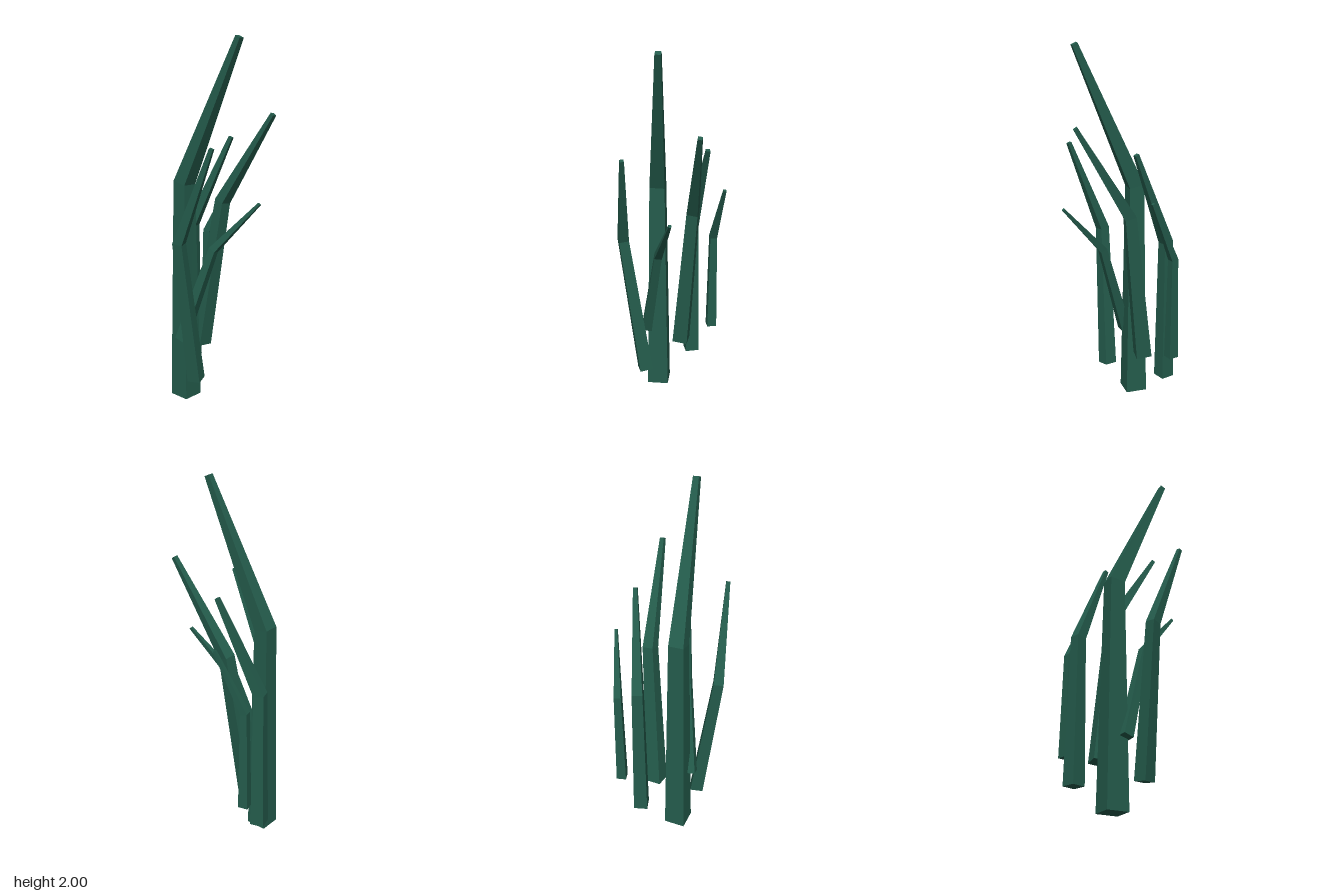
import * as THREE from 'three';

// Each blade: base, bend and tip as [x, y, z, width], plus the yaw of its square section in degrees
const BLADES = [
  { name: 'tallBlade', yaw: 0, points: [[-0.083, 0, -0.135, 0.118], [-0.083, 1.23, -0.135, 0.083], [-0.035, 1.993, 0.208, 0.031]] },
  { name: 'rightFrontBlade', yaw: 20, points: [[-0.145, 0.152, 0.005, 0.072], [-0.259, 0.95, -0.002, 0.054], [-0.223, 1.458, 0.196, 0.021]] },
  { name: 'lowFrontBlade', yaw: 8, points: [[-0.148, 0.36, -0.1, 0.056], [-0.06, 0.885, 0.057, 0.04], [0.03, 1.157, 0.296, 0.015]] },
  { name: 'centreBlade', yaw: -6, points: [[0.048, 0.272, -0.144, 0.085], [0.119, 1.11, -0.04, 0.061], [0.173, 1.603, 0.263, 0.023]] },
  { name: 'leftBackBlade', yaw: 17, points: [[0.098, 0.15, -0.255, 0.077], [0.1, 0.95, -0.252, 0.057], [0.194, 1.457, -0.046, 0.022]] },
  { name: 'smallBackBlade', yaw: 15, points: [[0.218, 0.322, -0.249, 0.054], [0.22, 0.89, -0.248, 0.039], [0.285, 1.22, -0.105, 0.015]] },
];

// A square tube through the points, with every section turned to face along the blade
function bladeGeometry(points, yaw) {
  const up = new THREE.Vector3(0, 1, 0);
  const centres = points.map(([x, y, z]) => new THREE.Vector3(x, y, z));
  const rings = centres.map((centre, i) => {
    const tangent = new THREE.Vector3();
    if (i > 0) tangent.add(centre.clone().sub(centres[i - 1]).normalize());
    if (i < centres.length - 1) tangent.add(centres[i + 1].clone().sub(centre).normalize());
    const tilt = new THREE.Quaternion().setFromUnitVectors(up, tangent.normalize());
    const half = points[i][3] / 2;
    return [[-1, 1], [1, 1], [1, -1], [-1, -1]].map(([x, z]) =>
      new THREE.Vector3(x * half, 0, z * half)
        .applyAxisAngle(up, THREE.MathUtils.degToRad(yaw))
        .applyQuaternion(tilt)
        .add(centre));
  });

  const corners = [];
  const quad = (a, b, c, d) => corners.push(a, b, c, a, c, d);
  for (let i = 0; i < rings.length - 1; i++) {
    for (let j = 0; j < 4; j++) {
      const k = (j + 1) % 4;
      quad(rings[i][j], rings[i][k], rings[i + 1][k], rings[i + 1][j]);
    }
  }
  quad(...rings[rings.length - 1]); // tip cap
  quad(...[...rings[0]].reverse()); // base cap

  const geometry = new THREE.BufferGeometry().setFromPoints(corners);
  geometry.computeVertexNormals();
  return geometry;
}

export function createModel() {
  const group = new THREE.Group();
  group.name = 'bladeCluster';
  const green = new THREE.MeshStandardMaterial({ color: 0x245c4c });
  green.name = 'darkGreen';
  green.flatShading = true;

  for (const { name, yaw, points } of BLADES) {
    const blade = new THREE.Mesh(bladeGeometry(points, yaw), green);
    blade.name = name;
    group.add(blade);
  }
  return group;
}
